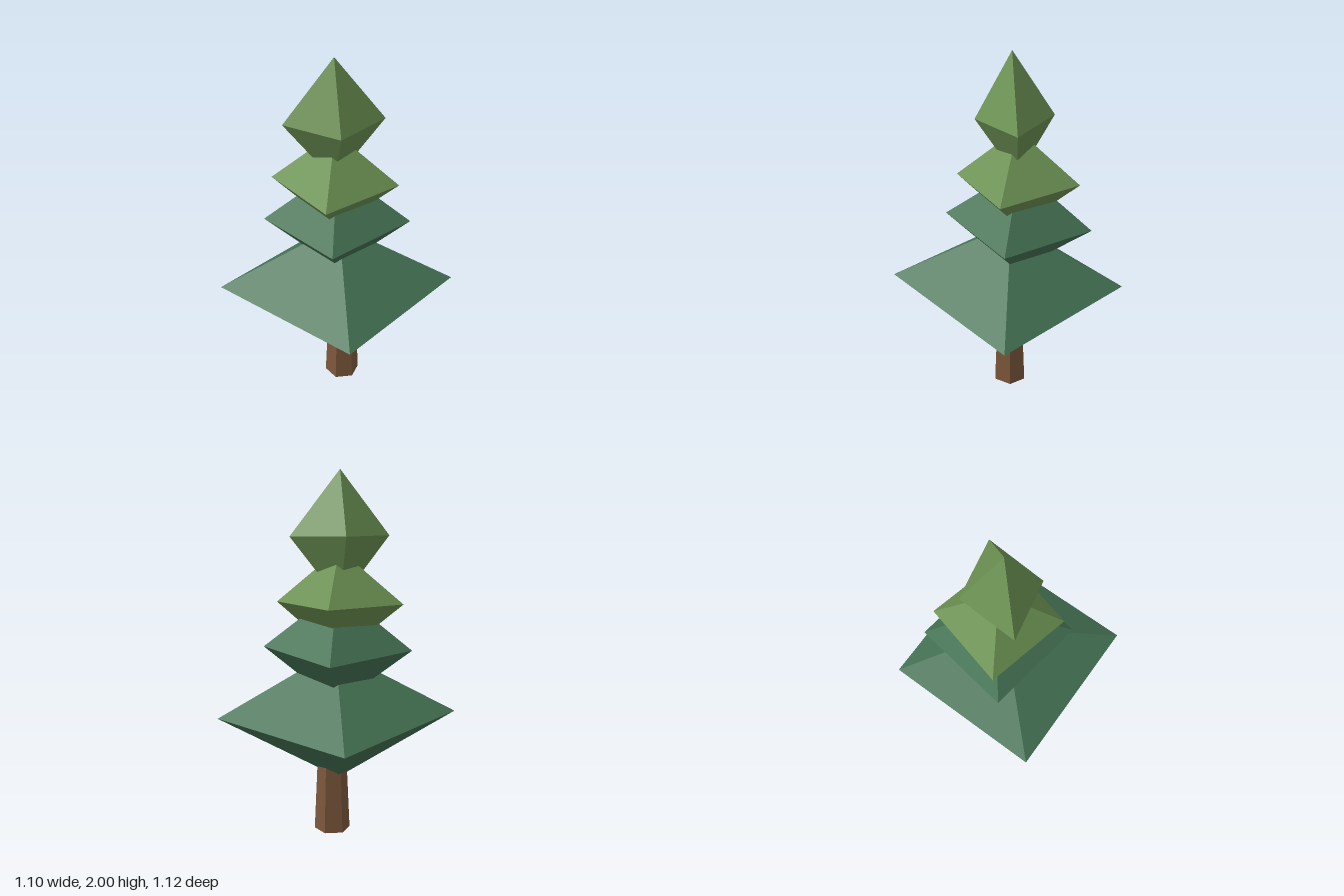
import * as THREE from 'three';

const material = (name, color) => {
  const m = new THREE.MeshStandardMaterial({ color, flatShading: true });
  m.name = name;
  return m;
};

// Faceted double pyramid: a ring of four corners joined to a top and a bottom point.
function createTier(name, mat, top, bottom, corners) {
  const positions = [];
  corners.forEach((corner, i) => {
    const next = corners[(i + 1) % corners.length];
    positions.push(...top, ...next, ...corner);
    positions.push(...bottom, ...corner, ...next);
  });
  const geometry = new THREE.BufferGeometry();
  geometry.setAttribute('position', new THREE.Float32BufferAttribute(positions, 3));
  geometry.computeVertexNormals();
  const mesh = new THREE.Mesh(geometry, mat);
  mesh.name = name;
  return mesh;
}

export function createModel() {
  const tree = new THREE.Group();
  tree.name = 'pineTree';

  const bark = material('bark brown', 0x7d583c);
  const darkGreen = material('dark green', 0x457354);
  const lightGreen = material('light green', 0x6c9253);

  // Six-sided tapered trunk
  const trunk = new THREE.Mesh(new THREE.CylinderGeometry(0.07, 0.1, 0.66, 6), bark);
  trunk.name = 'trunk';
  trunk.rotation.y = Math.PI / 6;
  trunk.position.set(0.005, 0.33, -0.03);
  tree.add(trunk);

  // Foliage from bottom to top; corners run back left, back right, front right, front left
  tree.add(
    createTier('lowestFoliage', darkGreen, [-0.01, 1.035, -0.018], [0.01, 0.29, 0.015], [
      [-0.55, 0.63, -0.35], [0.355, 0.65, -0.56], [0.55, 0.69, 0.35], [-0.355, 0.675, 0.56],
    ]),
    createTier('lowerFoliage', darkGreen, [-0.05, 1.37, -0.035], [-0.035, 0.735, -0.025], [
      [-0.35, 1.03, -0.295], [0.22, 1.055, -0.335], [0.26, 1.065, 0.235], [-0.31, 1.045, 0.275],
    ]),
    createTier('upperFoliage', lightGreen, [-0.045, 1.585, -0.018], [-0.05, 1.01, -0.02], [
      [-0.285, 1.305, -0.258], [0.2, 1.298, -0.258], [0.19, 1.292, 0.222], [-0.295, 1.298, 0.222],
    ]),
    createTier('crownFoliage', lightGreen, [-0.025, 2.0, 0.002], [-0.048, 1.305, -0.014], [
      [-0.22, 1.66, -0.1], [0.09, 1.652, -0.243], [0.145, 1.645, 0.09], [-0.16, 1.655, 0.23],
    ]),
  );
  return tree;
}
